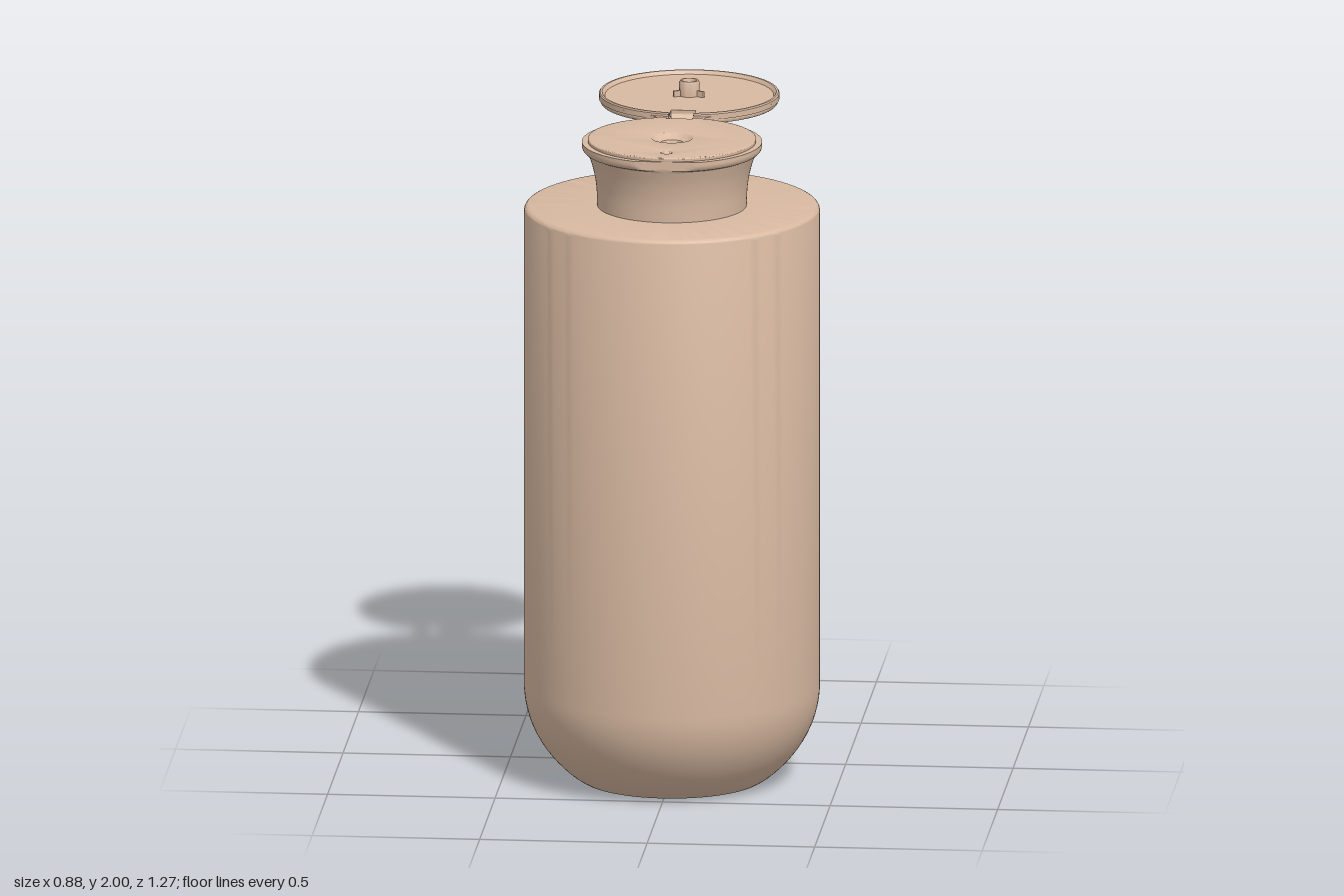
import * as THREE from 'three';
import { toCreasedNormals } from 'three/addons/utils/BufferGeometryUtils.js';

const BODY_Z = 0.195, LID_Z = -0.365, RIM = 0.268, FRONT = 0.447, SLOT = 0.037;
const SLOT_FRONT = -0.04, SLOT_BACK = -0.18;

export function createModel() {
  const model = new THREE.Group();
  const material = new THREE.MeshStandardMaterial({ color: 0xd8b9a1, side: THREE.DoubleSide });

  function add(name, geometry, x = 0, y = 0, z = 0) {
    const mesh = new THREE.Mesh(toCreasedNormals(geometry, 0.6), material);
    mesh.name = name;
    mesh.position.set(x, y, z);
    model.add(mesh);
    return mesh;
  }
  const lathe = (pts, segments = 96, start = 0, length = Math.PI * 2) =>
    new THREE.LatheGeometry(pts.map(p => new THREE.Vector2(p[0], p[1])), segments, start, length);

  // Horizontal plate: shape coordinates are (x, -z), thickness goes up
  function plate(shape, depth, bevel = 0) {
    const geometry = new THREE.ExtrudeGeometry(shape, {
      depth: depth - 2 * bevel, curveSegments: 64, bevelEnabled: bevel > 0,
      bevelSize: bevel, bevelThickness: bevel, bevelOffset: -bevel, bevelSegments: 3,
    });
    return geometry.translate(0, 0, bevel).rotateX(-Math.PI / 2);
  }
  const circleHole = (z, r) => new THREE.Path().absarc(0, -z, r, 0, Math.PI * 2, true);

  // Disc with a rectangular notch for the hinge; side = 1 cuts towards the back
  function notchedDisc(z, r, side, notchZ) {
    const shape = new THREE.Shape();
    const mid = side * Math.PI / 2, gap = Math.asin(SLOT / r);
    shape.absarc(0, -z, r, mid + gap, mid + Math.PI * 2 - gap, false);
    shape.lineTo(side * SLOT, -notchZ);
    shape.lineTo(-side * SLOT, -notchZ);
    shape.closePath();
    return shape;
  }

  // Bottle body: flat base, elliptical lower shoulder, rounded top edge
  const body = [[0, 0.005], [0.255, 0.005], [0.275, 0.008], [0.288, 0.016]];
  for (let i = 0; i <= 14; i++) {
    const a = 0.82 * (1 - i / 14);
    body.push([0.44 * Math.cos(a), 0.295 - 0.37 * Math.sin(a)]);
  }
  for (let i = 0; i <= 5; i++) {
    const a = (i / 5) * Math.PI / 2;
    body.push([0.422 + 0.018 * Math.cos(a), 1.742 + 0.018 * Math.sin(a)]);
  }
  body.push([0.2, 1.76]);
  add('bottleBody', lathe(body, 128), 0, 0, BODY_Z);

  // Flared cap skirt, flattened at the front for the thumb
  const flare = new THREE.SplineCurve([[0.222, 1.755], [0.225, 1.82], [0.235, 1.875], [0.25, 1.922]]
    .map(p => new THREE.Vector2(...p))).getPoints(14).map(p => [p.x, p.y]);
  const skirt = lathe([...flare, [0.26, 1.926], [0.266, 1.933], [RIM, 1.941], [RIM, 1.953]], 128);
  const pos = skirt.attributes.position;
  for (let i = 0; i < pos.count; i++) pos.setZ(i, Math.min(pos.getZ(i), FRONT - BODY_Z));
  add('capSkirt', skirt, 0, 0, BODY_Z);

  // One plate joins cap and lid, narrowing to two webs beside the hinge
  const join = Math.asin(0.15 / RIM), flat = Math.asin((FRONT - BODY_Z) / RIM);
  const outline = new THREE.Shape();
  outline.absarc(0, -BODY_Z, RIM, Math.PI / 2 - join, -flat, true);
  outline.absarc(0, -BODY_Z, RIM, -Math.PI + flat, -1.5 * Math.PI + join, true);
  outline.bezierCurveTo(-0.045, 0.075, -0.045, 0.095, -0.15, 0.143);
  outline.absarc(0, -LID_Z, RIM, 1.5 * Math.PI - join, -Math.PI / 2 + join, true);
  outline.bezierCurveTo(0.045, 0.095, 0.045, 0.075, 0.15, 0.027);
  const slot = new THREE.Path([
    [-SLOT, -SLOT_FRONT], [SLOT, -SLOT_FRONT], [SLOT, -SLOT_BACK], [-SLOT, -SLOT_BACK],
  ].map(p => new THREE.Vector2(...p)));
  slot.closePath();
  outline.holes.push(slot, circleHole(BODY_Z, 0.064));
  add('hingePlate', plate(outline, 0.01), 0, 1.944, 0);

  // Raised cap top with openings for the nozzle and the closing dimple
  const top = notchedDisc(BODY_Z, 0.25, 1, SLOT_FRONT);
  top.holes.push(circleHole(BODY_Z, 0.059), circleHole(0.37, 0.017));
  add('capTop', plate(top, 0.013, 0.004), 0, 1.952, 0);
  add('nozzle', lathe([[0.033, 1.88], [0.033, 1.943], [0.036, 1.949], [0.042, 1.95],
    [0.05, 1.954], [0.057, 1.961], [0.063, 1.965]], 48), 0, 0, BODY_Z);
  add('dimple', lathe([[0, 1.955], [0.009, 1.957], [0.016, 1.961], [0.021, 1.965]], 32), 0, 0, 0.37);

  // Open lid: underside, raised lip, sealing pin and its three fins
  add('lidShell', plate(notchedDisc(LID_Z, 0.264, -1, SLOT_BACK), 0.02, 0.008), 0, 1.93, 0);
  const gap = Math.asin(SLOT / RIM);
  add('lidLip', lathe([[RIM, 1.944], [RIM, 1.961], [0.265, 1.965], [0.259, 1.965],
    [0.256, 1.962], [0.25, 1.953]], 96, gap, Math.PI * 2 - 2 * gap), 0, 0, LID_Z);
  add('sealingPin', lathe([[0.03, 1.95], [0.03, 1.994], [0.027, 2], [0.022, 2],
    [0.02, 1.996], [0.02, 1.97], [0, 1.97]], 40), 0, 0, LID_Z);
  for (let i = 0; i < 3; i++) {
    const fin = new THREE.BoxGeometry(0.007, 0.02, 0.026).translate(0, 0, -0.039);
    add('pinFin', fin.rotateY(i * Math.PI * 2 / 3), 0, 1.962, LID_Z);
  }

  // Thin hinge strap looping down between cap and lid
  const curve = new THREE.SplineCurve([[0.036, 1.905], [0.07, 1.889], [0.095, 1.87], [0.12, 1.866],
    [0.145, 1.885], [0.165, 1.922], [0.18, 1.94]].map(p => new THREE.Vector2(...p)));
  const upper = [], lower = [];
  for (let i = 0; i <= 28; i++) {
    const p = curve.getPoint(i / 28), t = curve.getTangent(i / 28);
    upper.push(new THREE.Vector2(p.x - t.y * 0.004, p.y + t.x * 0.004));
    lower.unshift(new THREE.Vector2(p.x + t.y * 0.004, p.y - t.x * 0.004));
  }
  const strap = new THREE.ExtrudeGeometry(new THREE.Shape([...upper, ...lower]),
    { depth: 2 * SLOT, bevelEnabled: false });
  add('hingeStrap', strap.translate(0, 0, -SLOT).rotateY(Math.PI / 2));

  return model;
}
